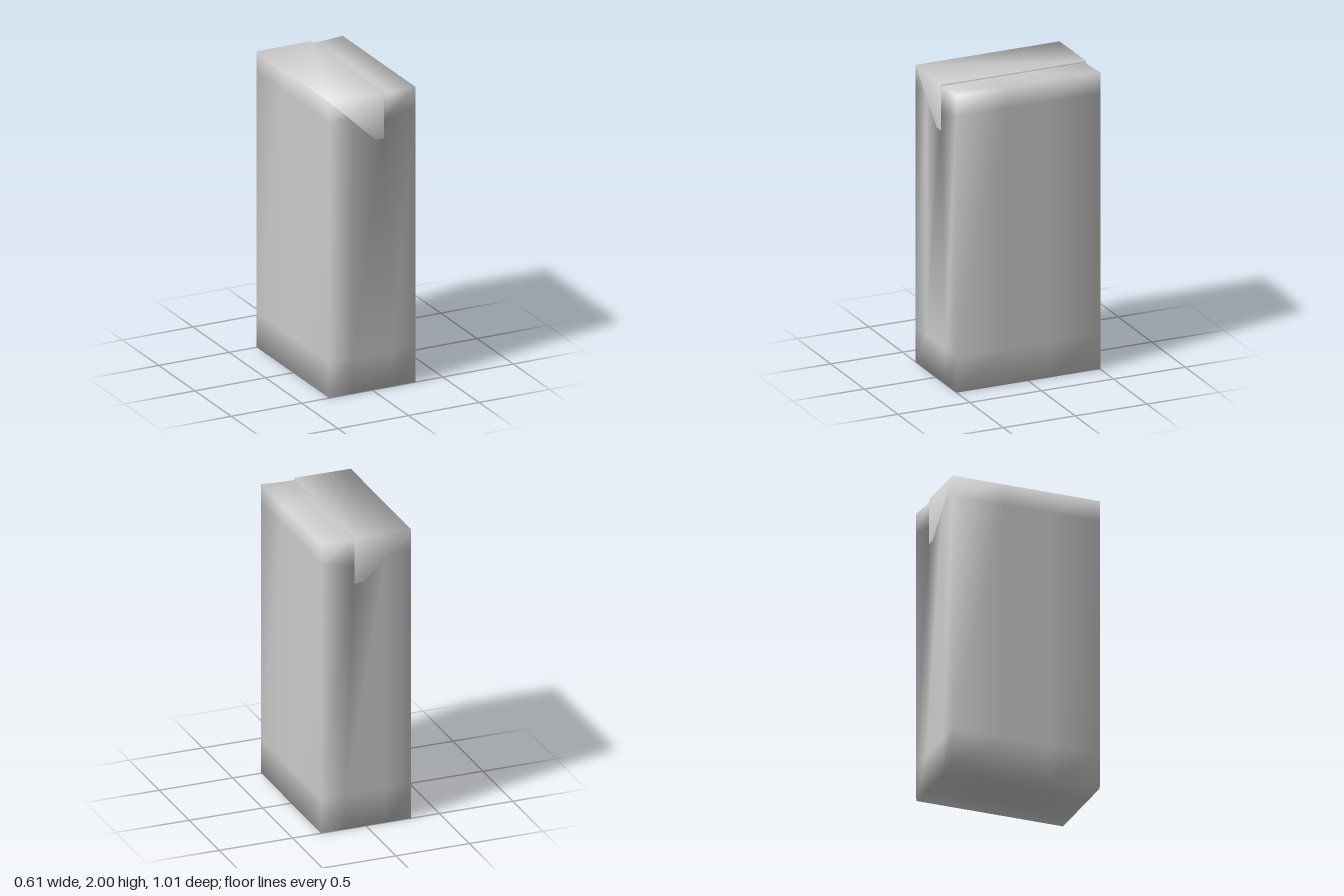
import * as THREE from 'three';
import { mergeVertices } from 'three/addons/utils/BufferGeometryUtils.js';

const grey = new THREE.MeshStandardMaterial({ color: 0xcccccc, side: THREE.DoubleSide });

// Carton body: a coarse box grid with softly blended corner normals
function bodyGeometry() {
  const xs = [-0.305, -0.14, 0.14, 0.305];
  const ys = [0, 0.24, 1.86, 2];
  const zs = [-0.5, -0.15, 0.15, 0.5];
  let geo = new THREE.BoxGeometry(3, 3, 3, 3, 3, 3);
  geo.deleteAttribute('normal');
  geo.deleteAttribute('uv');
  geo = mergeVertices(geo);
  const p = geo.attributes.position;
  const ears = [];
  for (let i = 0; i < p.count; i++) {
    const [a, b, c] = [p.getX(i), p.getY(i), p.getZ(i)].map((v) => Math.round(v + 1.5));
    let x = xs[a], y = ys[b], z = zs[c];
    const end = c === 0 || c === 3;
    const side = Math.sign(z);
    // the end panels swell slightly between the folds
    if (end && b > 0 && b < 3) z = side * 0.502;
    // the lid rests on a slightly sunken top
    if (b === 3 && a > 0) y = a === 3 ? 1.997 : 1.988;
    // root of the folded ear
    if (end && b === 2 && a === 2) {
      x = 0.08; y = 1.81; z = side * 0.503;
      ears.push([i, side]);
    }
    p.setXYZ(i, x, y, z);
  }
  geo.computeVertexNormals();
  // tilt the ear crease downward so the fold reads
  for (const [i, side] of ears) geo.attributes.normal.setXYZ(i, 0.1, -0.6, side * 0.79);
  return geo;
}

// Lid: top panel whose ends fold down into pointed flaps, with a thin free edge
function lidGeometry() {
  const pos = [], idx = [];
  for (const s of [1, -1]) {
    pos.push(
      -0.305, 2, s * 0.501,     // 0 hinge corner
      0.08, 2, s * 0.505,       // 1 top of free edge
      0.08, 1.69, s * 0.505,    // 2 flap tip
      0.02, 1.69, s * 0.505,    // 3 flap tip, inner corner
      0.08, 1.985, s * 0.495,   // 4 inside of free edge
      0.08, 1.69, s * 0.497,    // 5 inside of tip
      0.02, 1.69, s * 0.497,    // 6 inside of inner corner
    );
  }
  const quad = (a, b, c, d) => idx.push(a, b, c, a, c, d);
  quad(0, 1, 8, 7);             // top panel
  quad(1, 4, 11, 8);            // free edge
  for (const k of [0, 7]) {
    const faces = [[0, 3, 2], [0, 2, 1], [1, 2, 5], [1, 5, 4], [3, 6, 5], [3, 5, 2]];
    for (const [a, b, c] of faces) {
      if (k === 0) idx.push(a, b, c);
      else idx.push(a + k, c + k, b + k);
    }
  }
  const geo = new THREE.BufferGeometry();
  geo.setAttribute('position', new THREE.Float32BufferAttribute(pos, 3));
  geo.setIndex(idx);
  geo.computeVertexNormals();
  // blend the hinge corners into the side panel
  geo.attributes.normal.setXYZ(0, -0.58, 0.58, 0.58);
  geo.attributes.normal.setXYZ(7, -0.58, 0.58, -0.58);
  return geo;
}

export function createModel() {
  const group = new THREE.Group();
  group.name = 'drinkCarton';
  for (const [name, geo] of [['cartonBody', bodyGeometry()], ['foldedLid', lidGeometry()]]) {
    const mesh = new THREE.Mesh(geo, grey);
    mesh.name = name;
    group.add(mesh);
  }
  return group;
}
